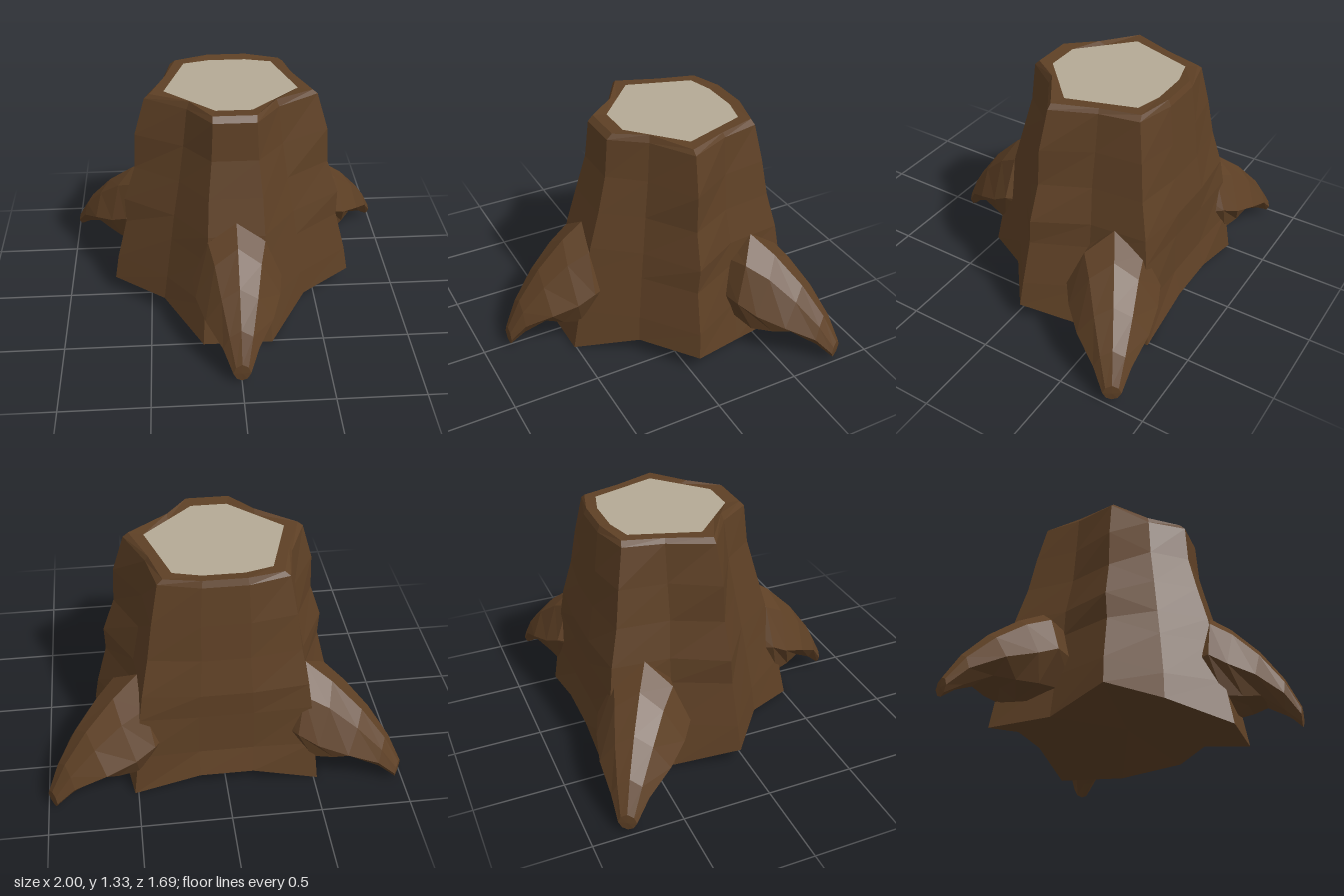
import * as THREE from 'three';

const bark = new THREE.MeshStandardMaterial({ color: 0x5e4025 });
bark.name = 'bark';
const cutWood = new THREE.MeshStandardMaterial({ color: 0xb4aa95 });
cutWood.name = 'cutWood';

// Faceted geometry from a list of triangles' corner points
function faceted(points) {
  const g = new THREE.BufferGeometry();
  g.setAttribute('position', new THREE.Float32BufferAttribute(points.flat(), 3));
  g.computeVertexNormals();
  return g;
}

// Skin between matching closed rings (counterclockwise seen from the last ring)
function loft(rings) {
  const out = [];
  for (let i = 0; i < rings.length - 1; i++) {
    const lo = rings[i], up = rings[i + 1], n = lo.length;
    for (let j = 0; j < n; j++) {
      const k = (j + 1) % n;
      out.push(lo[j], lo[k], up[k], lo[j], up[k], up[j]);
    }
  }
  return out;
}

// Fan closing a ring at a centre point
function fan(ring, centre, flip) {
  return ring.flatMap((p, j) => {
    const q = ring[(j + 1) % ring.length];
    return flip ? [centre, q, p] : [centre, p, q];
  });
}

// Half outline (x, z) from the front round to the back, mirrored to a full ring
function trunkRing(y, half) {
  const pts = half.map(([x, z], i) => [x, Array.isArray(y) ? y[i] : y, z]);
  return [...pts, ...pts.map(([x, h, z]) => [-x, h, z]).reverse()];
}

// Section of a root at distance z: bottom, low, side, upper, top
function rootRing(bottom, low, side, upper, top) {
  const right = [low, side, upper];
  return [[0, ...bottom], ...right, [0, ...top],
    ...right.map(([x, y, z]) => [-x, y, z]).reverse()];
}

export function createModel() {
  const model = new THREE.Group();
  const add = (name, geometry, material) => {
    const m = new THREE.Mesh(geometry, material);
    m.name = name;
    model.add(m);
    return m;
  };

  // Trunk: star-like pentagon, arched along its foot
  const rings = [
    trunkRing([0, 0.1, 0.1, 0, 0, 0.1],
      [[0.2, 0.51], [0.42, 0.19], [0.72, -0.04], [0.58, -0.38], [0.52, -0.76], [0.15, -0.76]]),
    trunkRing(0.25, [[0.185, 0.46], [0.4, 0.18], [0.695, -0.05], [0.53, -0.38], [0.49, -0.73], [0.15, -0.72]]),
    trunkRing(0.5, [[0.17, 0.4], [0.365, 0.15], [0.632, -0.06], [0.49, -0.36], [0.47, -0.7], [0.15, -0.71]]),
    trunkRing(0.65, [[0.16, 0.37], [0.345, 0.13], [0.635, -0.07], [0.48, -0.36], [0.45, -0.68], [0.14, -0.71]]),
    trunkRing(0.86, [[0.15, 0.31], [0.31, 0.1], [0.565, -0.08], [0.44, -0.34], [0.41, -0.63], [0.13, -0.67]]),
    trunkRing(1.07, [[0.13, 0.255], [0.28, 0.07], [0.555, -0.085], [0.41, -0.34], [0.38, -0.6], [0.13, -0.645]]),
    trunkRing(1.29, [[0.12, 0.235], [0.255, 0.05], [0.49, -0.1], [0.385, -0.34], [0.34, -0.56], [0.12, -0.615]]),
    trunkRing([1.32, 1.33, 1.315, 1.315, 1.315, 1.325],
      [[0.12, 0.205], [0.24, 0.04], [0.46, -0.1], [0.37, -0.335], [0.31, -0.55], [0.115, -0.6]]),
    trunkRing(1.315, [[0.1, 0.13], [0.24, 0], [0.38, -0.13], [0.32, -0.315], [0.26, -0.5], [0.11, -0.54]]),
  ];
  add('trunk', faceted([...loft(rings), ...fan(rings[0], [0, 0.1, -0.15], true)]), bark);

  // Pale sawn face
  add('cutFace', faceted(fan(rings[rings.length - 1], [0, 1.315, -0.2], false)), cutWood);

  // One root shape, growing along +z from its crown, with its inner end buried
  const rootRings = [
    rootRing([0.2, -0.12], [0.12, 0.22, -0.12], [0.17, 0.38, -0.12], [0.1, 0.58, -0.12], [0.66, -0.12]),
    rootRing([0.12, 0.13], [0.19, 0.17, 0.12], [0.255, 0.39, 0.06], [0.16, 0.62, 0.05], [0.74, 0]),
    rootRing([0.17, 0.22], [0.15, 0.17, 0.22], [0.24, 0.33, 0.16], [0.13, 0.55, 0.17], [0.64, 0.14]),
    rootRing([0.18, 0.32], [0.1, 0.18, 0.31], [0.19, 0.27, 0.3], [0.1, 0.42, 0.31], [0.48, 0.3]),
    rootRing([0.095, 0.43], [0.05, 0.1, 0.43], [0.1, 0.18, 0.435], [0.065, 0.26, 0.435], [0.3, 0.43]),
    rootRing([0.015, 0.51], [0.03, 0.03, 0.512], [0.05, 0.07, 0.513], [0.035, 0.11, 0.513], [0.13, 0.513]),
  ];
  const tip = rootRings[rootRings.length - 1];
  const rootGeometry = faceted([...loft(rootRings), ...fan(tip, [0, 0.07, 0.515], false)]);

  add('frontRoot', rootGeometry, bark).position.z = 0.33;
  for (const [name, s] of [['leftRoot', 1], ['rightRoot', -1]]) {
    const root = add(name, rootGeometry, bark);
    root.position.set(0.465 * s, 0, -0.5);
    root.rotation.y = 2.106 * s;
    root.scale.set(1, 0.89, 1.15);
  }
  return model;
}
